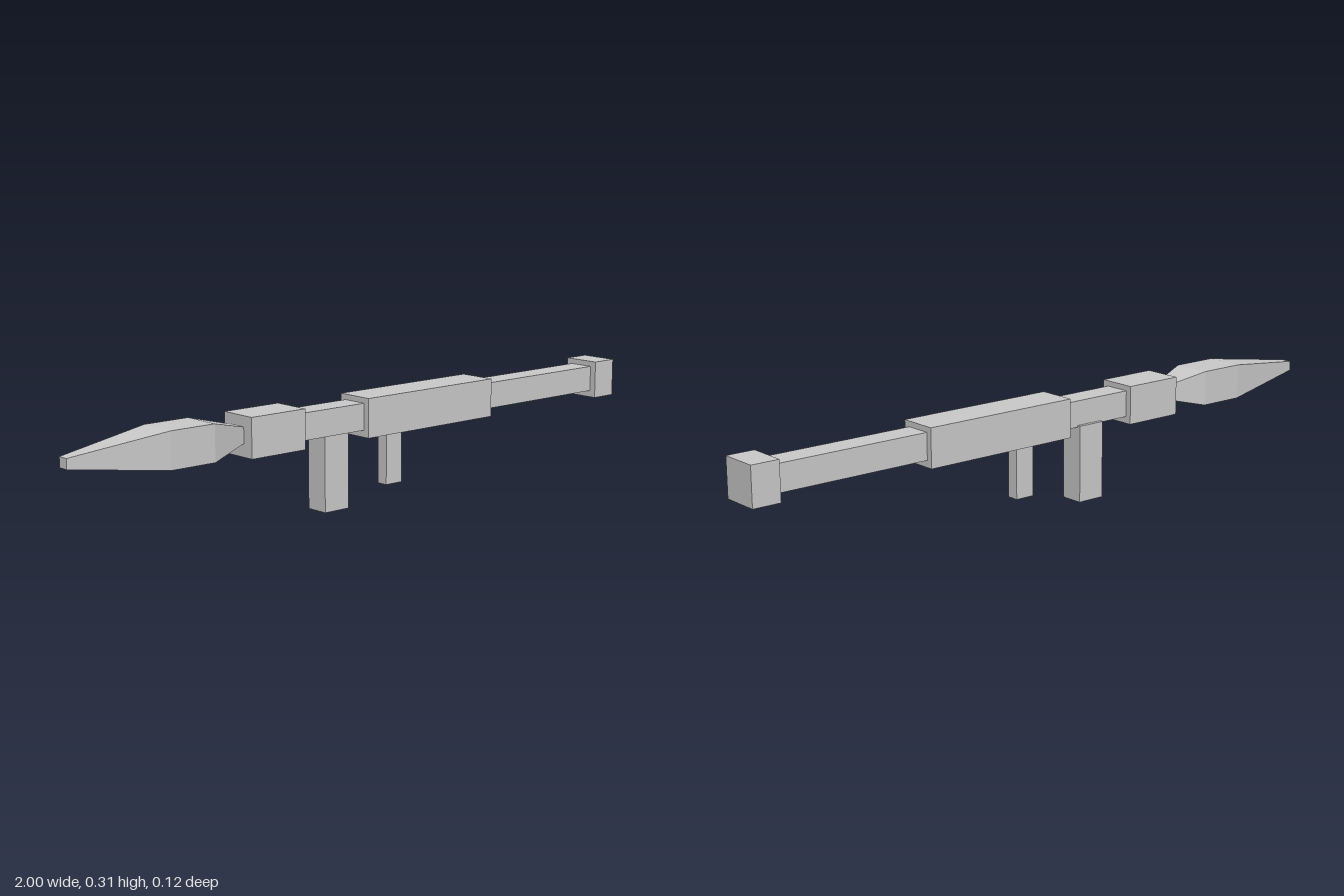
import * as THREE from 'three';

export function createModel() {
  const group = new THREE.Group();
  const material = new THREE.MeshStandardMaterial({ color: 0xcccccc, flatShading: true });

  // Box given by its minimum and maximum on each axis
  function box(name, [x0, x1], [y0, y1], [z0, z1]) {
    const mesh = new THREE.Mesh(new THREE.BoxGeometry(x1 - x0, y1 - y0, z1 - z0), material);
    mesh.position.set((x0 + x1) / 2, (y0 + y1) / 2, (z0 + z1) / 2);
    mesh.name = name;
    group.add(mesh);
  }

  // Launch tube with its thicker sleeves
  const thickY = [0.2, 0.313], thickZ = [-0.058, 0.058];
  box('tube', [-0.3, 0.95], [0.22, 0.297], [-0.04, 0.038]);
  box('muzzleCollar', [-0.455, -0.27], thickY, thickZ);
  box('shoulderSleeve', [-0.04, 0.45], thickY, thickZ);
  box('rearCap', [0.917, 1], thickY, thickZ);

  // Grips hanging below
  box('mainGrip', [-0.168, -0.082], [0, 0.225], [-0.051, 0.02]);
  box('smallGrip', [0.068, 0.128], [0.043, 0.21], [-0.022, 0.014]);

  // Square-section warhead: [x, half width], closed at both ends
  const sections = [[-1, 0], [-1, 0.016], [-0.715, 0.058], [-0.575, 0.058], [-0.45, 0.024], [-0.45, 0]];
  const profile = sections.map(([x, half]) => new THREE.Vector2(half * Math.SQRT2, x));
  const geometry = new THREE.LatheGeometry(profile, 4, Math.PI / 4).toNonIndexed();
  geometry.rotateZ(-Math.PI / 2);
  geometry.scale(1, 0.89, 1);
  geometry.computeVertexNormals();
  const warhead = new THREE.Mesh(geometry, material);
  warhead.name = 'warhead';
  warhead.position.set(0, 0.26, -0.001);
  group.add(warhead);

  return group;
}
